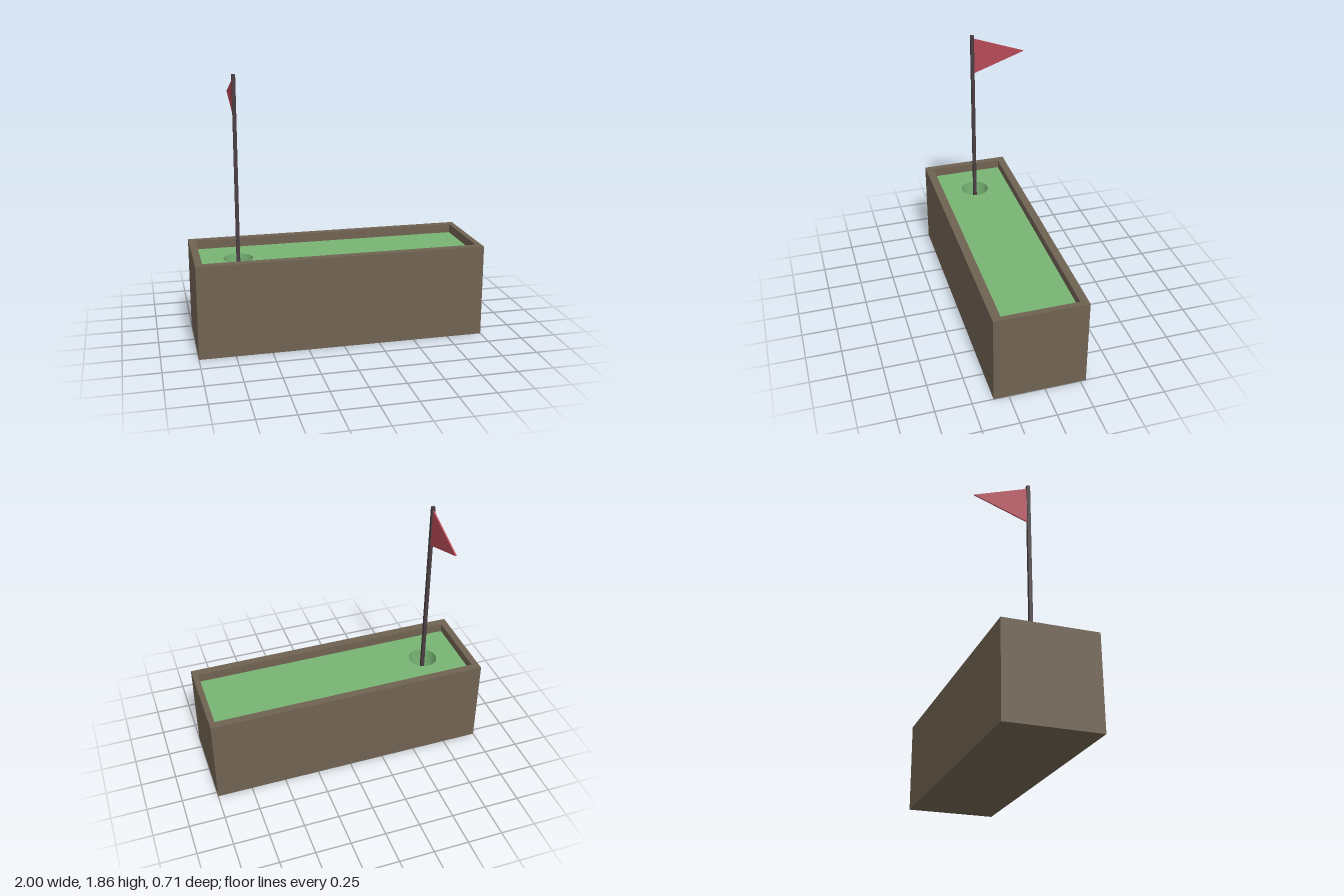
import * as THREE from 'three';

const material = (name, color, side = THREE.FrontSide) => {
  const m = new THREE.MeshStandardMaterial({ color, side });
  m.name = name;
  return m;
};

// Rectangle in plan; shape y becomes -z after the extrusion is laid flat
const plan = (Type, x0, x1, z0, z1) => {
  const s = new Type();
  s.moveTo(x0, -z1).lineTo(x1, -z1).lineTo(x1, -z0).lineTo(x0, -z0).closePath();
  return s;
};

// Extrude a plan shape upward from y0 to y1
const slab = (shape, y0, y1) => {
  const g = new THREE.ExtrudeGeometry(shape, { depth: y1 - y0, bevelEnabled: false, curveSegments: 32 });
  return g.rotateX(-Math.PI / 2).translate(0, y0, 0);
};

export function createModel() {
  const model = new THREE.Group();
  const wood = material('brown wood', 0x6f6251);
  const grass = material('green turf', 0x78b474);
  const dark = material('dark pole', 0x4a3e43);
  const red = material('red flag', 0xb64a56);

  const add = (name, geometry, mat) => {
    const mesh = new THREE.Mesh(geometry, mat);
    mesh.name = name;
    model.add(mesh);
    return mesh;
  };

  const outer = [-1, 1, -0.29, 0.355];
  const inner = [-0.95, 0.96, -0.235, 0.295];
  const top = 0.65, turfTop = 0.587, floorTop = 0.05;
  const cupX = -0.68, cupZ = 0.03;

  // Planter walls and base
  const wall = plan(THREE.Shape, ...outer);
  wall.holes.push(plan(THREE.Path, ...inner));
  add('boxWalls', slab(wall, 0, top), wood);
  add('boxFloor', slab(plan(THREE.Shape, ...inner), 0, floorTop), wood);

  // Turf block with the round cup cut through it
  const turf = plan(THREE.Shape, ...inner);
  const cup = new THREE.Path();
  cup.absarc(cupX, -cupZ, 0.102, 0, Math.PI * 2, true);
  turf.holes.push(cup);
  add('turf', slab(turf, floorTop, turfTop), grass);

  // Square pole standing on the cup floor
  const poleTop = 1.855;
  add('flagPole', new THREE.BoxGeometry(0.024, poleTop - floorTop, 0.024), dark)
    .position.set(cupX, (poleTop + floorTop) / 2, cupZ);

  // Pennant pointing backward
  const pennant = new THREE.Shape();
  pennant.moveTo(-0.02, 1.565).lineTo(0.355, 1.697).lineTo(-0.02, 1.83).closePath();
  const flag = new THREE.ExtrudeGeometry(pennant, { depth: 0.01, bevelEnabled: false });
  flag.translate(0, 0, -0.005).rotateY(Math.PI / 2).translate(cupX, 0, 0);
  add('flag', flag, red);

  return model;
}
